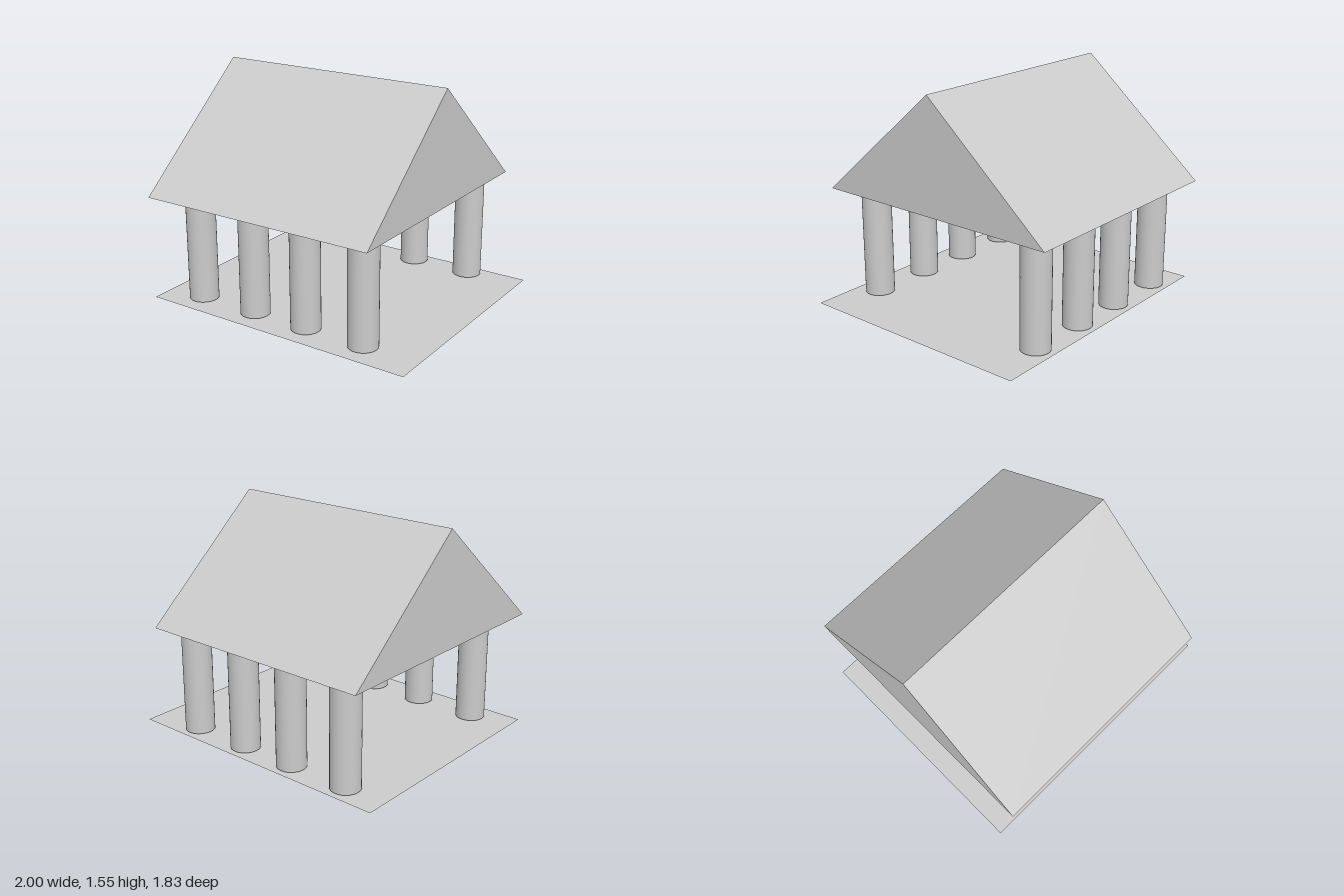
import * as THREE from 'three';

export function createModel() {
  const group = new THREE.Group();
  group.name = 'pavilion';
  const material = new THREE.MeshStandardMaterial({ color: 0xcccccc });
  const add = (name, geometry, x, y, z, mat = material) => {
    const mesh = new THREE.Mesh(geometry, mat);
    mesh.name = name;
    mesh.position.set(x, y, z);
    group.add(mesh);
  };

  // Paper-thin floor
  const floorMaterial = material.clone();
  floorMaterial.side = THREE.DoubleSide;
  const floor = new THREE.PlaneGeometry(2, 1.694).rotateX(-Math.PI / 2);
  add('floor', floor, 0, 0, 0, floorMaterial);

  // Two rows of four round columns
  const bottom = 0.013, top = 0.762;
  const column = new THREE.CylinderGeometry(0.101, 0.101, top - bottom, 32);
  for (const [row, z] of [['front', 0.668], ['back', -0.72]]) {
    [-0.706, -0.256, 0.16, 0.602].forEach((x, i) =>
      add(`${row}Column${i + 1}`, column, x, (top + bottom) / 2, z));
  }

  // Gabled roof: a triangle swept along x
  const gable = new THREE.Shape([
    new THREE.Vector2(-0.917, 0),
    new THREE.Vector2(0.917, 0),
    new THREE.Vector2(0, 0.791),
  ]);
  const roof = new THREE.ExtrudeGeometry(gable, { depth: 1.722, bevelEnabled: false });
  roof.rotateY(Math.PI / 2);
  add('roof', roof, -0.941, top, -0.003);

  return group;
}
